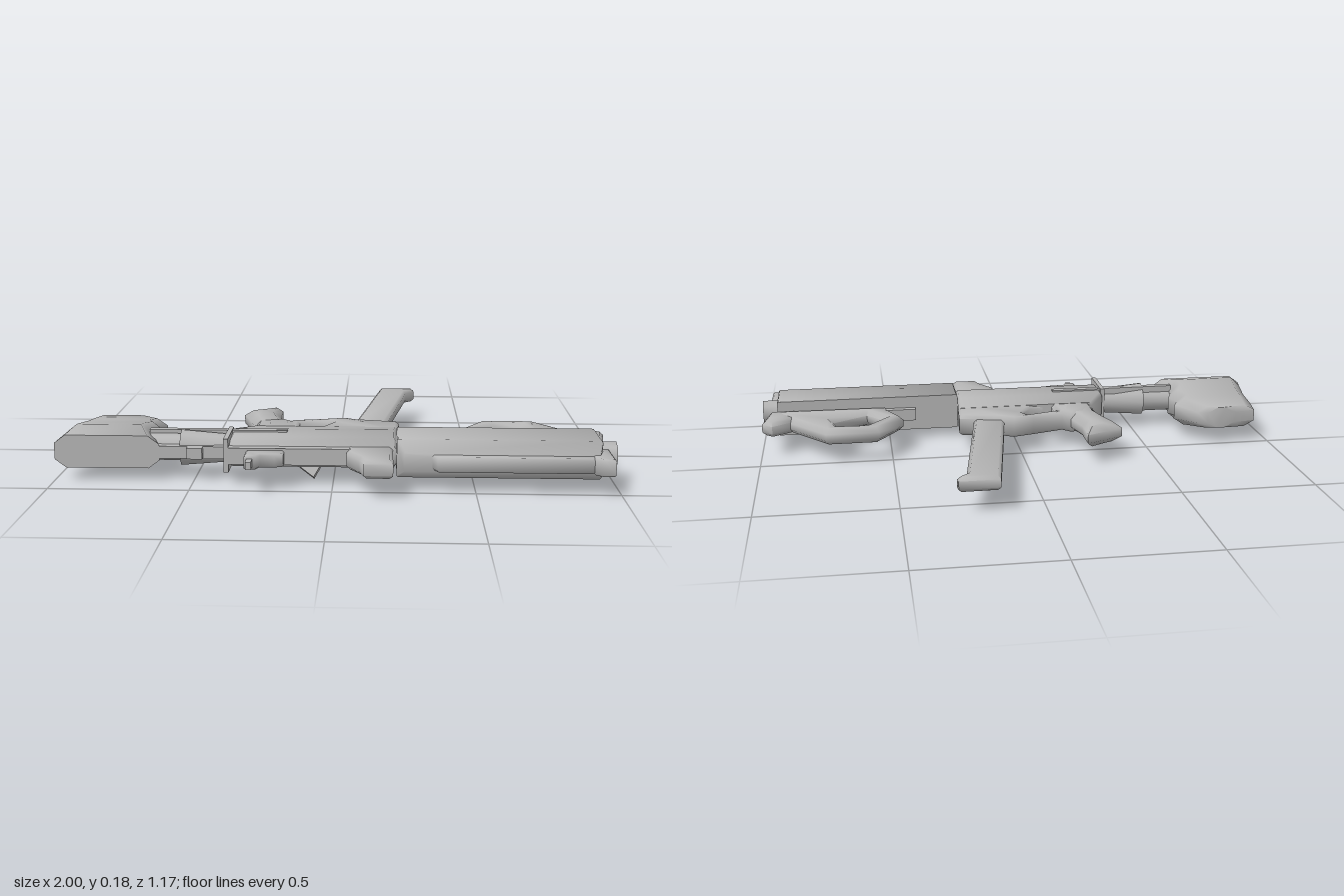
import * as THREE from 'three';
import { toCreasedNormals } from 'three/addons/utils/BufferGeometryUtils.js';

const MID = 0.108; // height of the flat symmetry plane
const metal = new THREE.MeshStandardMaterial({ color: 0xb6b6b6 });
metal.name = 'grey';

export function createModel() {
  const model = new THREE.Group();
  model.name = 'rifle';

  // Soft shading over every chamfer, only square corners stay sharp
  function add(name, geometry) {
    const mesh = new THREE.Mesh(toCreasedNormals(geometry, 1.3), metal);
    mesh.name = name;
    model.add(mesh);
  }

  // Flat plate from an [x, z] outline with chamfered edges, centred on MID
  function slab(name, outline, half, chamfer, hole = null) {
    const toPoints = (list) => list.map(([x, z]) => new THREE.Vector2(x, z));
    const shape = new THREE.Shape(toPoints(outline));
    if (hole) shape.holes.push(new THREE.Path(toPoints(hole)));
    const rise = Math.min(chamfer, half * 0.6);
    const g = new THREE.ExtrudeGeometry(shape, {
      depth: 2 * (half - rise), bevelEnabled: true, bevelSegments: 1,
      bevelSize: chamfer, bevelOffset: -chamfer, bevelThickness: rise,
    });
    g.translate(0, 0, -(half - rise));
    g.rotateX(Math.PI / 2);
    g.translate(0, MID, 0);
    add(name, g);
  }

  // Loft along z through chamfered rectangles: [z, x0, x1, halfHeight]
  function loft(name, sections, cx, cy) {
    const pos = [], index = [];
    for (const [z, x0, x1, h] of sections) {
      const k = h * cy;
      const ring = [[x1 - cx, -h], [x1, -h + k], [x1, h - k], [x1 - cx, h],
        [x0 + cx, h], [x0, h - k], [x0, -h + k], [x0 + cx, -h]];
      for (const [x, y] of ring) pos.push(x, MID + y, z);
    }
    const last = (sections.length - 1) * 8;
    for (let i = 0; i < last; i += 8) {
      for (let j = 0; j < 8; j++) {
        const a = i + j, b = i + (j + 1) % 8;
        index.push(a, b, b + 8, a, b + 8, a + 8);
      }
    }
    for (let j = 1; j < 7; j++) {
      index.push(0, j + 1, j, last, last + j, last + j + 1);
    }
    const g = new THREE.BufferGeometry();
    g.setAttribute('position', new THREE.Float32BufferAttribute(pos, 3));
    g.setIndex(index);
    add(name, g);
  }

  function box(name, x0, x1, y0, y1, z0, z1) {
    const g = new THREE.BoxGeometry(x1 - x0, y1 - y0, z1 - z0);
    g.translate((x0 + x1) / 2, (y0 + y1) / 2, (z0 + z1) / 2);
    add(name, g);
  }

  // Round part along x
  function rod(name, x0, x1, r0, r1, z, sides = 12) {
    const g = new THREE.CylinderGeometry(r1, r0, x1 - x0, sides);
    g.rotateZ(-Math.PI / 2);
    g.translate((x0 + x1) / 2, MID, z);
    add(name, g);
  }

  // Shoulder stock, thickest near its upper edge
  loft('stock', [
    [0.008, -0.86, -0.75, 0.042],
    [0.02, -0.945, -0.71, 0.044],
    [0.11, -0.955, -0.64, 0.055],
    [0.15, -0.957, -0.66, 0.06],
    [0.20, -0.96, -0.64, 0.066],
    [0.26, -0.97, -0.665, 0.074],
    [0.30, -0.977, -0.66, 0.079],
    [0.387, -1.0, -0.622, 0.06],
  ], 0.04, 0.5);

  // Stock tube, collar and side rail
  rod('stockTube', -0.70, -0.54, 0.05, 0.05, 0.308);
  rod('stockCollar', -0.55, -0.36, 0.066, 0.05, 0.315);
  box('tubeStrip', -0.64, -0.36, 0.085, 0.13, 0.34, 0.385);
  box('collarKnob', -0.52, -0.465, 0.09, 0.13, 0.36, 0.41);
  box('sideRail', -0.67, -0.17, 0.145, 0.170, 0.275, 0.302);
  box('rearPlate', -0.385, -0.368, 0.05, 0.172, 0.26, 0.435);

  // Upper receiver
  loft('receiver', [
    [0.155, -0.31, 0.23, 0.042],
    [0.25, -0.372, 0.225, 0.056],
    [0.36, -0.372, 0.225, 0.056],
    [0.405, -0.372, 0.225, 0.036],
  ], 0.01, 0.3);

  // Lower receiver with trigger opening
  slab('lowerReceiver', [
    [-0.33, 0.21], [-0.30, 0.155], [-0.30, 0.06], [-0.20, 0.03], [-0.17, 0.062],
    [-0.05, 0.025], [0.03, 0.003], [0.07, 0.025], [0.15, 0.04], [0.237, 0.06], [0.228, 0.21],
  ], 0.041, 0.012, [
    [-0.14, 0.068], [-0.035, 0.047], [-0.015, 0.075], [-0.055, 0.145], [-0.145, 0.162],
  ]);

  // Rounded pistol grip
  slab('pistolGrip', [
    [-0.345, 0.215], [-0.31, 0.155], [-0.315, 0.07], [-0.34, -0.02], [-0.372, -0.11],
    [-0.31, -0.14], [-0.225, -0.178], [-0.225, -0.07], [-0.20, 0.03], [-0.155, 0.08],
    [-0.155, 0.215],
  ], 0.041, 0.03);

  // Long straight magazine with a flared foot
  slab('magazine', [
    [0.058, 0.07], [0.16, -0.585], [0.305, -0.587], [0.308, -0.563],
    [0.272, -0.53], [0.175, 0.09],
  ], 0.027, 0.012);

  // Sight rail, rear sight and pin along the top edge
  box('sightRail', -0.37, 0.06, 0.08, 0.14, 0.39, 0.437);
  slab('rearSight', [
    [-0.305, 0.43], [-0.17, 0.43], [-0.17, 0.475], [-0.20, 0.482],
    [-0.25, 0.485], [-0.262, 0.51], [-0.305, 0.51],
  ], 0.025, 0.006);
  box('sightPin', -0.295, -0.275, 0.095, 0.122, 0.50, 0.55);

  // Front lug of the receiver
  slab('receiverLug', [
    [0.05, 0.39], [0.212, 0.39], [0.212, 0.582], [0.112, 0.582], [0.095, 0.53], [0.05, 0.465],
  ], 0.033, 0.012);

  // Bolt handle, tilted and angled down from the side
  const bolt = new THREE.Shape([
    new THREE.Vector2(-0.15, 0.06), new THREE.Vector2(-0.07, 0),
    new THREE.Vector2(-0.045, 0.045), new THREE.Vector2(-0.06, 0.065),
  ]);
  const boltGeometry = new THREE.ExtrudeGeometry(bolt, { depth: 0.045, bevelEnabled: false });
  boltGeometry.rotateX(-0.43);
  boltGeometry.translate(0, 0.003, 0.345);
  add('boltHandle', boltGeometry);

  // Broad handguard with a tapered top edge and a thin rib
  loft('handguard', [
    [0.256, 0.225, 0.94, 0.069],
    [0.43, 0.225, 0.94, 0.069],
    [0.478, 0.25, 0.925, 0.032],
  ], 0.004, 0.08);
  slab('handguardRib', [
    [0.33, 0.44], [0.935, 0.44], [0.90, 0.513], [0.365, 0.513],
  ], 0.027, 0.006);
  box('lowerStrip', 0.395, 0.94, 0.085, 0.131, 0.23, 0.262);

  // Open foregrip loop below the handguard
  slab('foregripLoop', [
    [0.50, 0.26], [0.50, 0.225], [0.45, 0.13], [0.55, -0.013], [0.75, -0.013],
    [0.875, 0.135], [0.935, 0.215], [0.95, 0.262],
  ], 0.032, 0.02, [
    [0.60, 0.04], [0.70, 0.045], [0.722, 0.125], [0.59, 0.205], [0.525, 0.13],
  ]);
  slab('frontHook', [
    [0.86, 0.27], [0.86, 0.17], [0.955, 0.108], [0.995, 0.14], [0.972, 0.265],
  ], 0.03, 0.015);

  // Muzzle and front sight
  rod('muzzle', 0.92, 1.0, 0.048, 0.048, 0.355, 8);
  slab('frontSight', [
    [0.93, 0.39], [0.97, 0.39], [0.97, 0.533], [0.93, 0.533], [0.90, 0.51], [0.90, 0.44],
  ], 0.031, 0.006);

  return model;
}
